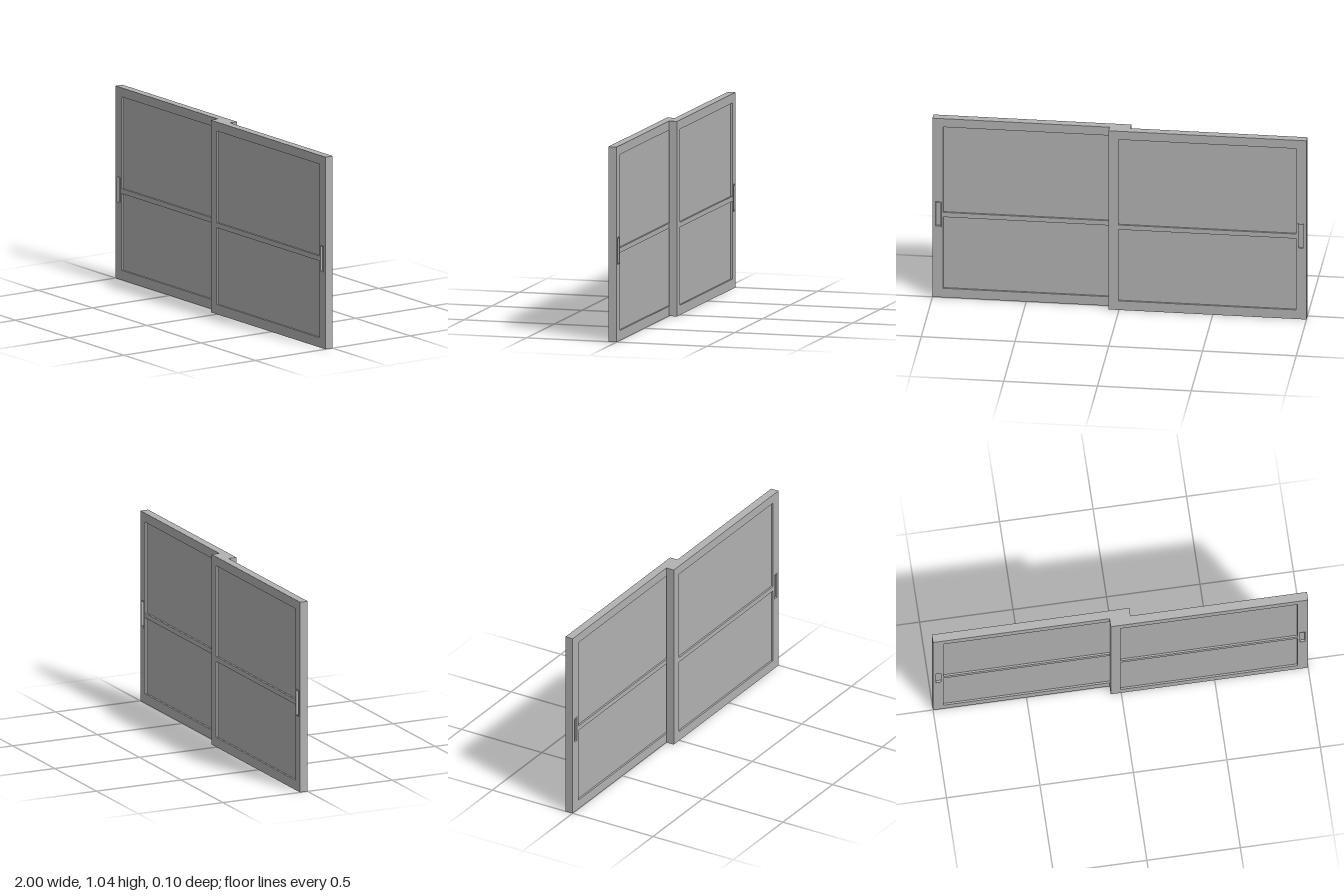
import * as THREE from 'three';

const H = 1.045;          // door height
const INNER = -0.056;     // overlapping edge of a door

function rect(Type, x0, y0, x1, y1) {
  return new Type([
    new THREE.Vector2(x0, y0), new THREE.Vector2(x1, y0),
    new THREE.Vector2(x1, y1), new THREE.Vector2(x0, y1),
  ]);
}

function slab(shape, z0, z1) {
  const g = new THREE.ExtrudeGeometry(shape, { depth: z1 - z0, bevelEnabled: false });
  return g.translate(0, 0, z0);
}

function plate(x0, y0, x1, y1, z0, z1) {
  return new THREE.BoxGeometry(x1 - x0, y1 - y0, z1 - z0)
    .translate((x0 + x1) / 2, (y0 + y1) / 2, (z0 + z1) / 2);
}

export function createModel() {
  const grey = new THREE.MeshStandardMaterial({ color: 0xb2b2b2 });
  grey.name = 'grey';
  const model = new THREE.Group();
  model.name = 'slidingDoors';

  // One door; side = 1 reaches to +x, side = -1 to -x
  function door(name, side, z0, z1, handleZ0, handleZ1) {
    const group = new THREE.Group();
    group.name = name;
    const add = (part, geometry) => {
      const mesh = new THREE.Mesh(geometry, grey);
      mesh.name = part;
      group.add(mesh);
    };
    const span = (a, b) => (side > 0 ? [a, b] : [-b, -a]);

    // Frame with two pane openings and a slot for the pull
    const [fx0, fx1] = span(INNER, 1);
    const [px0, px1] = span(INNER + 0.053, 0.943);
    const [hx0, hx1] = span(0.953, 0.987);
    const hy0 = 0.413, hy1 = 0.558;
    const openings = [[0.053, 0.47], [0.497, 0.996]];
    const frame = rect(THREE.Shape, fx0, 0, fx1, H);
    for (const [y0, y1] of openings) frame.holes.push(rect(THREE.Path, px0, y0, px1, y1));
    frame.holes.push(rect(THREE.Path, hx0, hy0, hx1, hy1));
    add('frame', slab(frame, z0, z1));

    // Panes set back from both faces
    openings.forEach(([y0, y1], i) => {
      add(i ? 'upperPane' : 'lowerPane', plate(px0, y0, px1, y1, z0 + 0.01, z1 - 0.01));
    });

    // Recessed pull: thin rim and a closed centre
    const r = 0.004;
    const rim = rect(THREE.Shape, hx0, hy0, hx1, hy1);
    rim.holes.push(rect(THREE.Path, hx0 + r, hy0 + r, hx1 - r, hy1 - r));
    add('pullRim', slab(rim, handleZ0, handleZ1));
    add('pullCup', plate(hx0 + r, hy0 + r, hx1 - r, hy1 - r, handleZ0 + 0.012, handleZ1 - 0.012));
    model.add(group);
  }

  door('frontDoor', 1, 0.0005, 0.0465, -0.0025, 0.0485);
  door('backDoor', -1, -0.0445, 0.0005, -0.0485, 0.001);
  return model;
}
